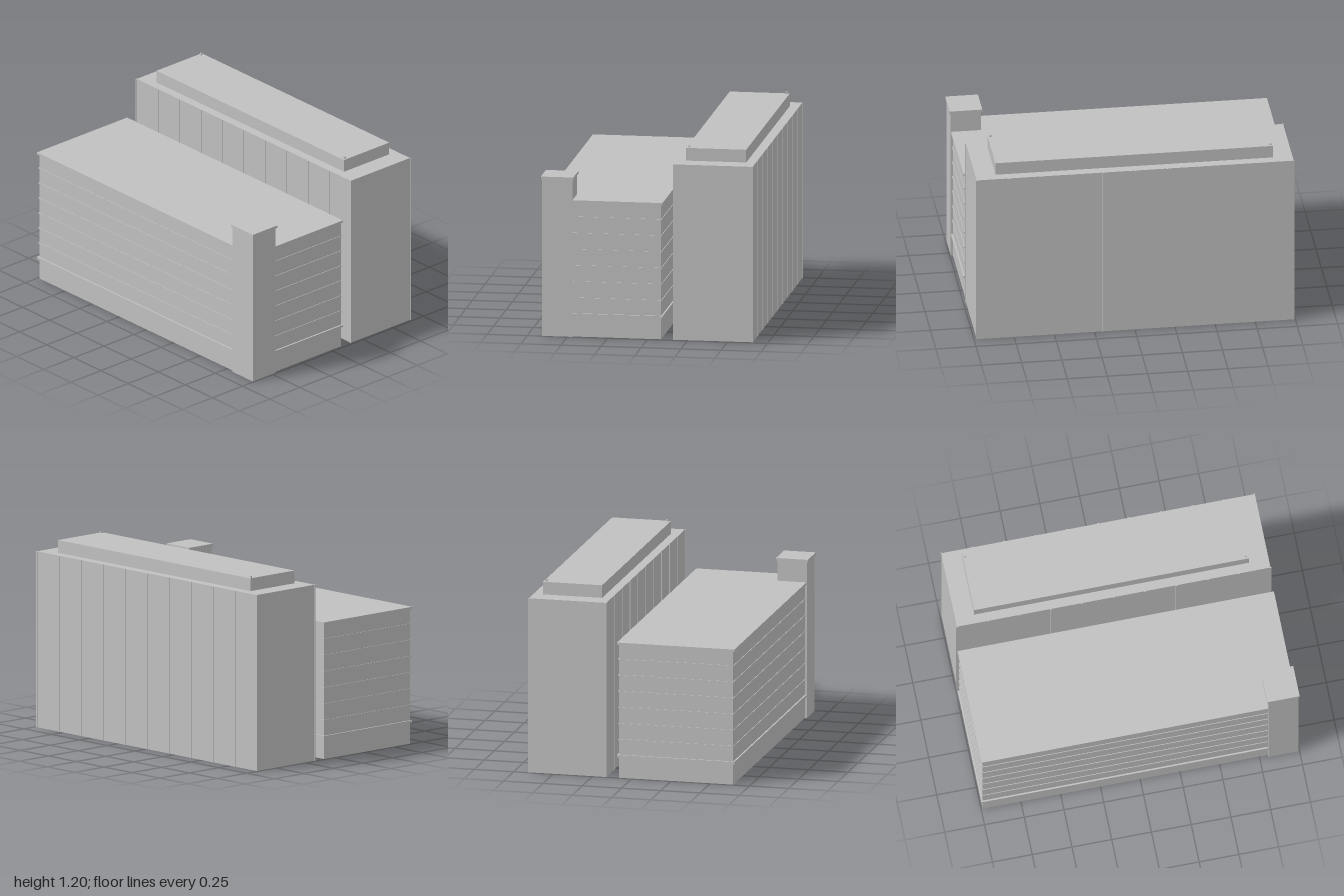
import * as THREE from 'three';

const stone = new THREE.MeshStandardMaterial({ color: 0xc0c0c0, side: THREE.DoubleSide });
stone.name = 'light grey';

// Box from its limits; an open box has no floor
function block(parent, name, [x0, x1], [y0, y1], [z0, z1], open = false) {
  const geo = new THREE.BoxGeometry(x1 - x0, y1 - y0, z1 - z0);
  if (open) {
    const index = Array.from(geo.index.array);
    index.splice(18, 6); // downward side
    geo.setIndex(index);
    geo.clearGroups();
  }
  geo.translate((x0 + x1) / 2, (y0 + y1) / 2, (z0 + z1) / 2);
  const mesh = new THREE.Mesh(geo, stone);
  mesh.name = name;
  parent.add(mesh);
}

export function createModel() {
  const model = new THREE.Group();
  model.name = 'officeBuilding';

  // Low front wing with ledges, roof and floor lines
  const wing = new THREE.Group();
  wing.name = 'frontWing';
  model.add(wing);
  const wx = [-0.99, 0.98], wz = [-0.083, 0.645];
  const grow = ([a, b], d) => [a - d, b + d];
  block(wing, 'wingBase', wx, [0, 0.132], wz, true);
  block(wing, 'baseLedge', grow(wx, 0.01), [0.132, 0.147], grow(wz, 0.01));
  block(wing, 'wingWalls', wx, [0.147, 0.846], wz);
  block(wing, 'wingRoof', grow(wx, 0.01), [0.846, 0.86], grow(wz, 0.01));
  for (let i = 0; i < 6; i++) {
    const y = 0.242 + i * 0.102;
    block(wing, 'floorLine', grow(wx, 0.004), [y - 0.004, y + 0.004], grow(wz, 0.004));
  }

  // Corner stair tower
  const stair = new THREE.Group();
  stair.name = 'stairTower';
  model.add(stair);
  block(stair, 'stairWalls', [0.804, 0.993], [0, 0.988], [0.469, 0.658], true);
  block(stair, 'stairCap', [0.797, 1], [0.988, 1.005], [0.462, 0.665]);

  // Bridge between the wing and the tall block
  block(model, 'bridge', [-0.203, 0.19], [0.275, 0.51], [-0.162, -0.08]);

  // Tall rear block with vertical fins on the front and back
  const tall = new THREE.Group();
  tall.name = 'rearBlock';
  model.add(tall);
  block(tall, 'rearWalls', [-0.99, 0.983], [0, 1.105], [-0.655, -0.163], true);
  for (let i = 0; i <= 10; i++) {
    const x = -0.99 + i * 0.1973;
    block(tall, 'frontFin', [x - 0.005, x + 0.005], [0, 1.105], [-0.165, -0.159]);
    block(tall, 'backFin', [x - 0.005, x + 0.005], [0, 1.105], [-0.659, -0.653]);
  }

  // Roof plant room and its two small posts
  block(tall, 'plantRoom', [-0.87, 0.858], [1.105, 1.185], [-0.595, -0.22]);
  for (const [x, z] of [[-0.855, -0.577], [0.841, -0.239]]) {
    block(tall, 'roofPost', [x - 0.006, x + 0.006], [1.185, 1.197], [z - 0.006, z + 0.006]);
  }
  return model;
}
